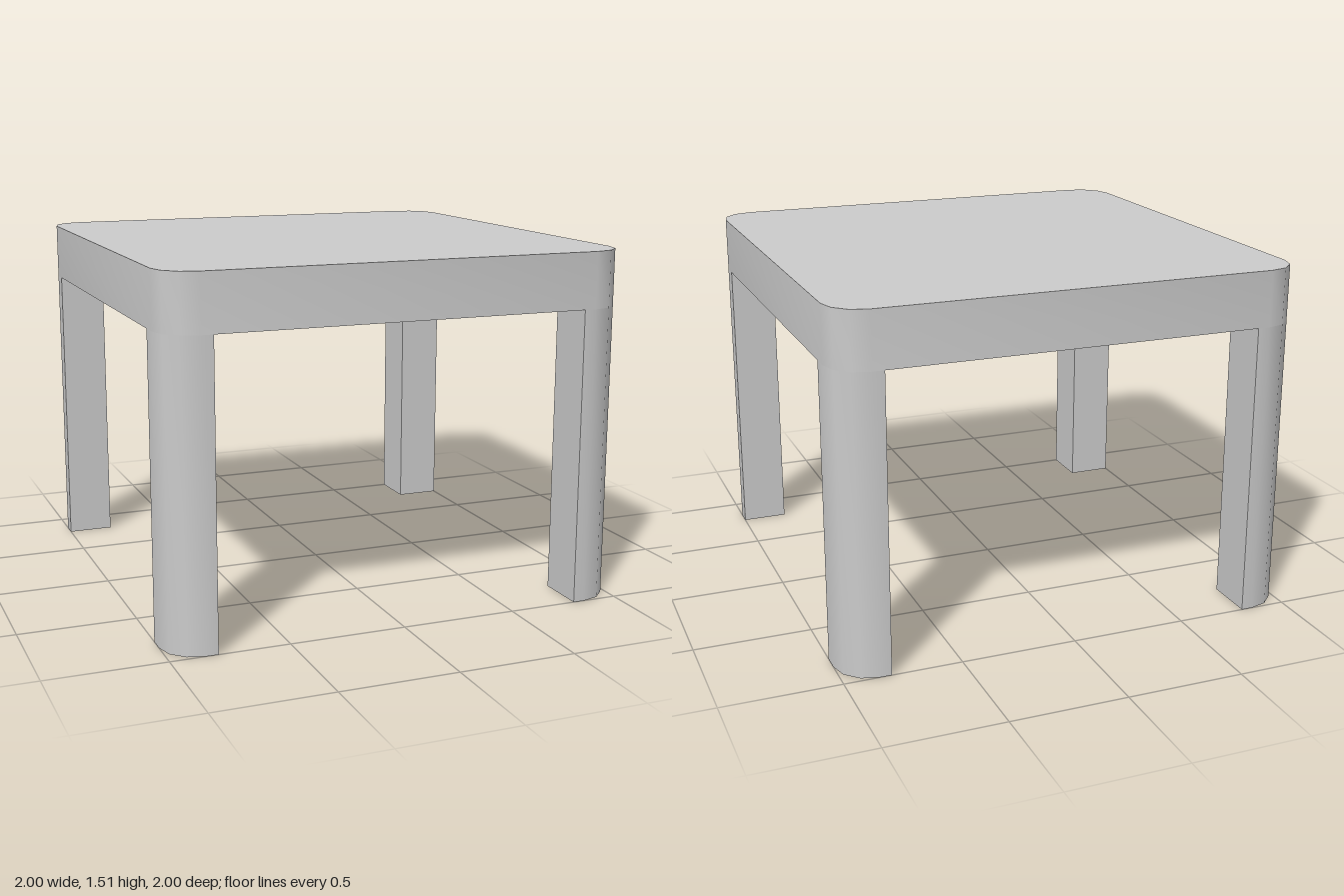
import * as THREE from 'three';
import { toCreasedNormals } from 'three/addons/utils/BufferGeometryUtils.js';

const RADIUS = 0.15, LEG_X = 0.2, LEG_Z = 0.22, UNDERSIDE = 1.27, TOP = 1.51;

// Points of one rounded corner of the plan, from the +-x side to the +-z side
function cornerPoints(sx, sz) {
  const points = [];
  for (let i = 0; i <= 3; i++) {
    const a = (i / 3) * Math.PI / 2;
    points.push(new THREE.Vector2(
      sx * (1 - RADIUS + RADIUS * Math.cos(a)),
      sz * (1 - RADIUS + RADIUS * Math.sin(a))));
  }
  return points;
}

// Raise a plan outline (x, z) from y0 to y1, smooth round the corners
function raise(name, points, y0, y1, material) {
  const outline = new THREE.Shape(points.map(p => new THREE.Vector2(p.x, -p.y)));
  const geometry = new THREE.ExtrudeGeometry(outline, { depth: y1 - y0, bevelEnabled: false });
  geometry.rotateX(-Math.PI / 2).translate(0, y0, 0);
  const mesh = new THREE.Mesh(toCreasedNormals(geometry, 0.6), material);
  mesh.name = name;
  return mesh;
}

export function createModel() {
  const table = new THREE.Group();
  table.name = 'table';
  const material = new THREE.MeshStandardMaterial({ color: 0xcccccc });

  // Thick top with rounded corners
  const plan = [
    ...cornerPoints(1, 1), ...cornerPoints(-1, 1).reverse(),
    ...cornerPoints(-1, -1), ...cornerPoints(1, -1).reverse(),
  ];
  table.add(raise('tableTop', plan, UNDERSIDE, TOP, material));

  // Four corner legs flush with the rounded corners of the top
  for (const sx of [-1, 1]) {
    for (const sz of [-1, 1]) {
      const ix = sx * (1 - LEG_X), iz = sz * (1 - LEG_Z);
      const section = [
        new THREE.Vector2(ix, iz), new THREE.Vector2(sx, iz),
        ...cornerPoints(sx, sz), new THREE.Vector2(ix, sz),
      ];
      const name = (sz > 0 ? 'front' : 'back') + (sx > 0 ? 'Left' : 'Right') + 'Leg';
      table.add(raise(name, section, 0, UNDERSIDE, material));
    }
  }
  return table;
}
